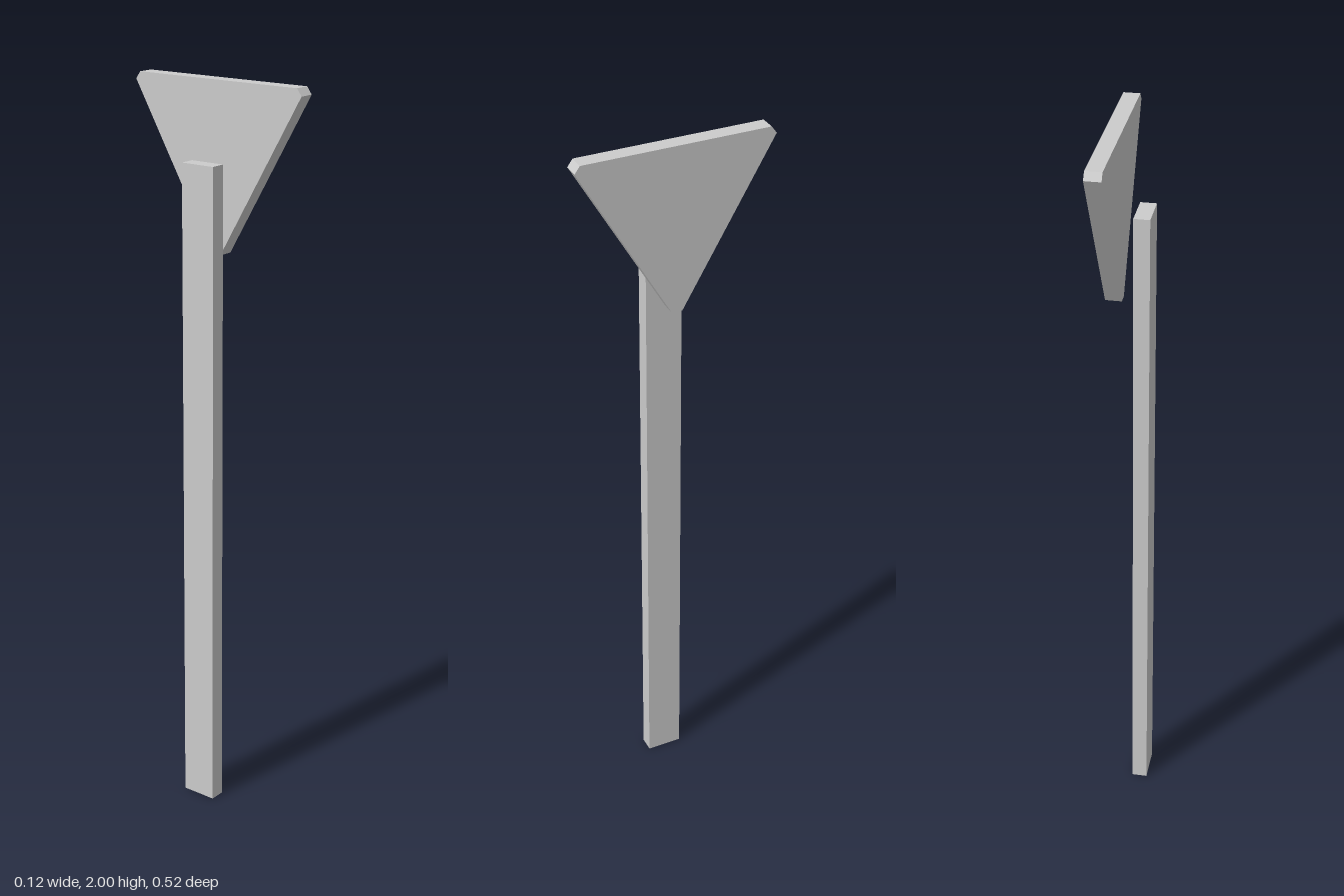
import * as THREE from 'three';

const material = new THREE.MeshStandardMaterial({ color: 0xcccccc, flatShading: true, side: THREE.DoubleSide });

// Extrudes a shape, drawn with its outline facing +x, between two x positions
function plateAlongX(shape, x0, x1) {
  const geometry = new THREE.ExtrudeGeometry(shape, { depth: x1 - x0, bevelEnabled: false });
  return geometry.rotateY(Math.PI / 2).translate(x0, 0, 0);
}

export function createModel() {
  const model = new THREE.Group();
  model.name = 'roadSign';

  // Post: rectangular bar with an open bottom end
  const height = 1.797;
  const postGeometry = new THREE.BoxGeometry(0.042, height, 0.099);
  const index = Array.from(postGeometry.index.array);
  index.splice(18, 6); // remove the bottom face
  postGeometry.setIndex(index);
  postGeometry.clearGroups();
  postGeometry.translate(-0.039, height / 2, 0);
  const post = new THREE.Mesh(postGeometry, material);
  post.name = 'post';
  model.add(post);

  // Sign plate: downward triangle with clipped corners
  const outline = [
    [-0.014, 1.552], [0.014, 1.552], [0.262, 1.981],
    [0.248, 2], [-0.248, 2], [-0.262, 1.981],
  ];
  const shape = new THREE.Shape(outline.map(([z, y]) => new THREE.Vector2(z, y)));
  const plate = new THREE.Mesh(plateAlongX(shape, 0.017, 0.06), material);
  plate.name = 'signPlate';
  model.add(plate);

  return model;
}
